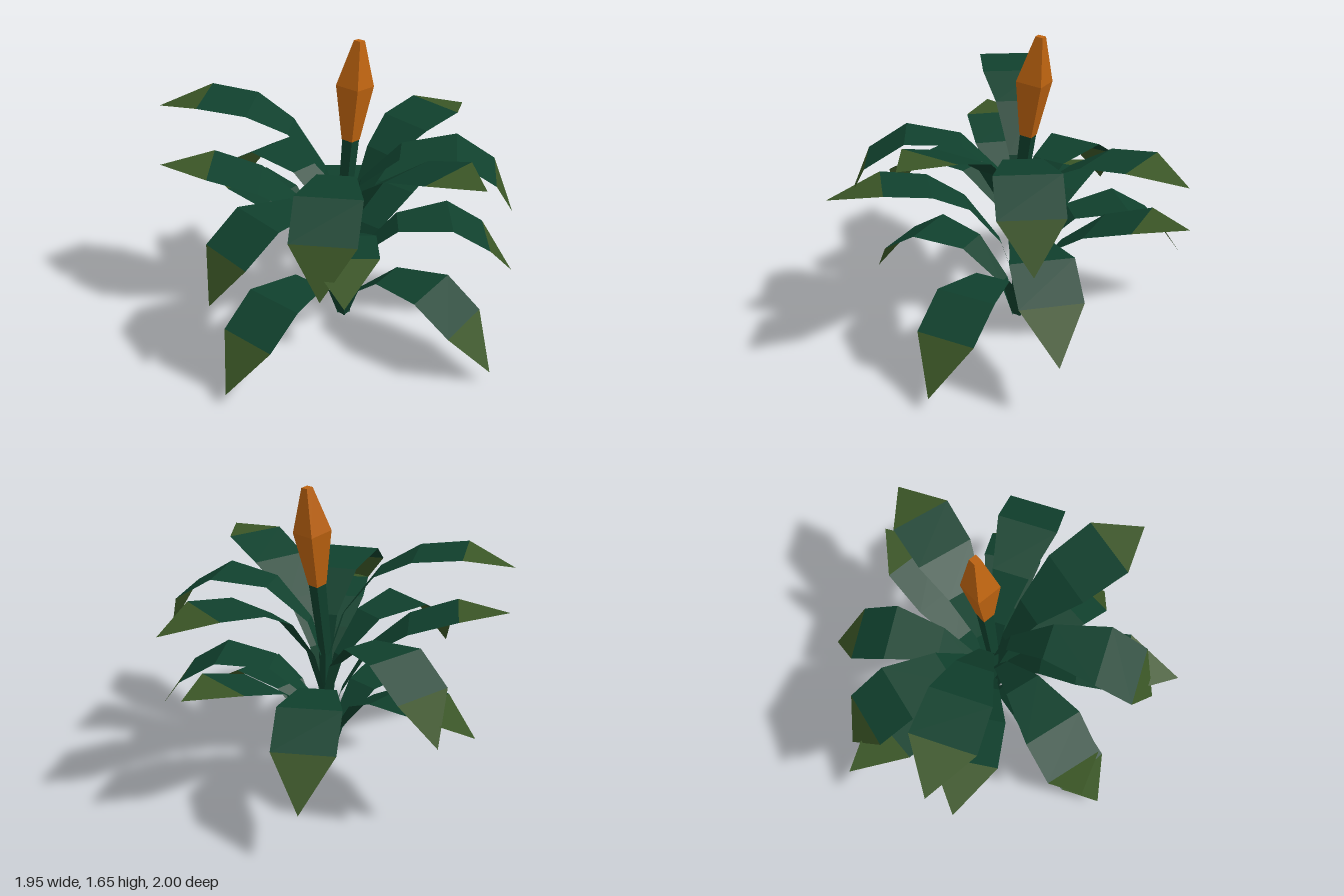
import * as THREE from 'three';

const leafMat = new THREE.MeshStandardMaterial({ color: 0x10402d, flatShading: true, side: THREE.DoubleSide });
const tipMat = new THREE.MeshStandardMaterial({ color: 0x3a5526, flatShading: true, side: THREE.DoubleSide });
const budMat = new THREE.MeshStandardMaterial({ color: 0xbd6310, flatShading: true });

// Leaf profiles: rows of [distance from stem, height, half width], last row is the tip
const PROFILES = {
  drooping: [[0.02, 0, 0.03], [0.09, 0.2, 0.042], [0.3, 0.4, 0.1], [0.59, 0.44, 0.165], [0.8, 0.31, 0.16], [0.93, 0.075, 0]],
  arched: [[0.02, 0, 0.03], [0.1, 0.26, 0.04], [0.28, 0.51, 0.1], [0.48, 0.625, 0.16], [0.73, 0.66, 0.168], [1.0, 0.59, 0]],
  upright: [[0.02, 0, 0.03], [0.09, 0.25, 0.042], [0.23, 0.5, 0.085], [0.45, 0.67, 0.16], [0.71, 0.76, 0.17], [0.96, 0.76, 0]],
};

// Strip of quads across the rows, facing up
function strip(rows) {
  const pos = [], idx = [];
  rows.forEach(([r, y, w], i) => {
    pos.push(r, y, -w, r, y, w);
    if (i) {
      const a = 2 * (i - 1);
      idx.push(a, a + 1, a + 3);
      if (w > 0) idx.push(a, a + 3, a + 2);
      else idx.splice(-3, 3, a, a + 1, a + 2);
    }
  });
  const g = new THREE.BufferGeometry();
  g.setAttribute('position', new THREE.Float32BufferAttribute(pos, 3));
  g.setIndex(idx);
  g.computeVertexNormals();
  return g;
}

function makeLeaf(kind, length) {
  const rows = PROFILES[kind].map(([r, y, w], i, all) => [i === all.length - 1 ? length : r, y, w]);
  const leaf = new THREE.Group();
  leaf.name = kind + 'Leaf';
  const blade = new THREE.Mesh(strip(rows.slice(0, -1)), leafMat);
  blade.name = 'leafBlade';
  const tip = new THREE.Mesh(strip(rows.slice(-2)), tipMat);
  tip.name = 'leafTip';
  leaf.add(blade, tip);
  return leaf;
}

// Square tube through rows of [x, y, half width], capped at both ends
function squareTube(rows) {
  const pos = [], idx = [];
  rows.forEach(([x, y, h], i) => {
    for (const [sx, sz] of [[-1, 1], [1, 1], [1, -1], [-1, -1]]) pos.push(x + sx * h, y - sx * h * 0.12, sz * h);
    for (let k = 0; i && k < 4; k++) {
      const a = 4 * (i - 1) + k, b = 4 * (i - 1) + (k + 1) % 4;
      idx.push(a, b, b + 4, a, b + 4, a + 4);
    }
  });
  const t = 4 * (rows.length - 1);
  idx.push(0, 2, 1, 0, 3, 2, t, t + 1, t + 2, t, t + 2, t + 3);
  const g = new THREE.BufferGeometry();
  g.setAttribute('position', new THREE.Float32BufferAttribute(pos, 3));
  g.setIndex(idx);
  g.computeVertexNormals();
  return g;
}

export function createModel() {
  const plant = new THREE.Group();
  plant.name = 'plant';
  const body = new THREE.Group();
  body.name = 'plantBody';
  body.position.z = 0.025;
  plant.add(body);

  // Tiers of leaves spiralling up the stem: turn in degrees, tip lengths
  const tiers = [
    { turn: 0, droop: 0.975, arch: 1.025, up: 0.96 },
    { turn: 232, droop: 0.965, arch: 1.02, up: 0.98 },
    { turn: 98.5, droop: 0.92, arch: 0.985, up: 0.935 },
    { turn: 329, droop: 0.91, arch: 0.98 },
  ];
  tiers.forEach((t, i) => {
    const tier = new THREE.Group();
    tier.name = 'leafTier' + (i + 1);
    const leaves = [['drooping', 90, t.droop], ['drooping', 180, t.droop], ['arched', 270, t.arch]];
    if (t.up) leaves.push(['upright', 0, t.up]);
    for (const [kind, angle, length] of leaves) {
      const leaf = makeLeaf(kind, length);
      leaf.rotation.y = -THREE.MathUtils.degToRad(angle + t.turn);
      tier.add(leaf);
    }
    tier.position.y = 0.231 * i;
    body.add(tier);
  });

  // Stem and leaning flower bud
  const stem = new THREE.Mesh(squareTube([[0, 0.003, 0.025], [0, 0.7, 0.025], [0.06, 1.12, 0.032]]), leafMat);
  stem.name = 'stem';
  const bud = new THREE.Mesh(squareTube([[0.06, 1.12, 0.034], [0.094, 1.415, 0.07], [0.127, 1.65, 0.02]]), budMat);
  bud.name = 'flowerBud';
  body.add(stem, bud);
  return plant;
}
